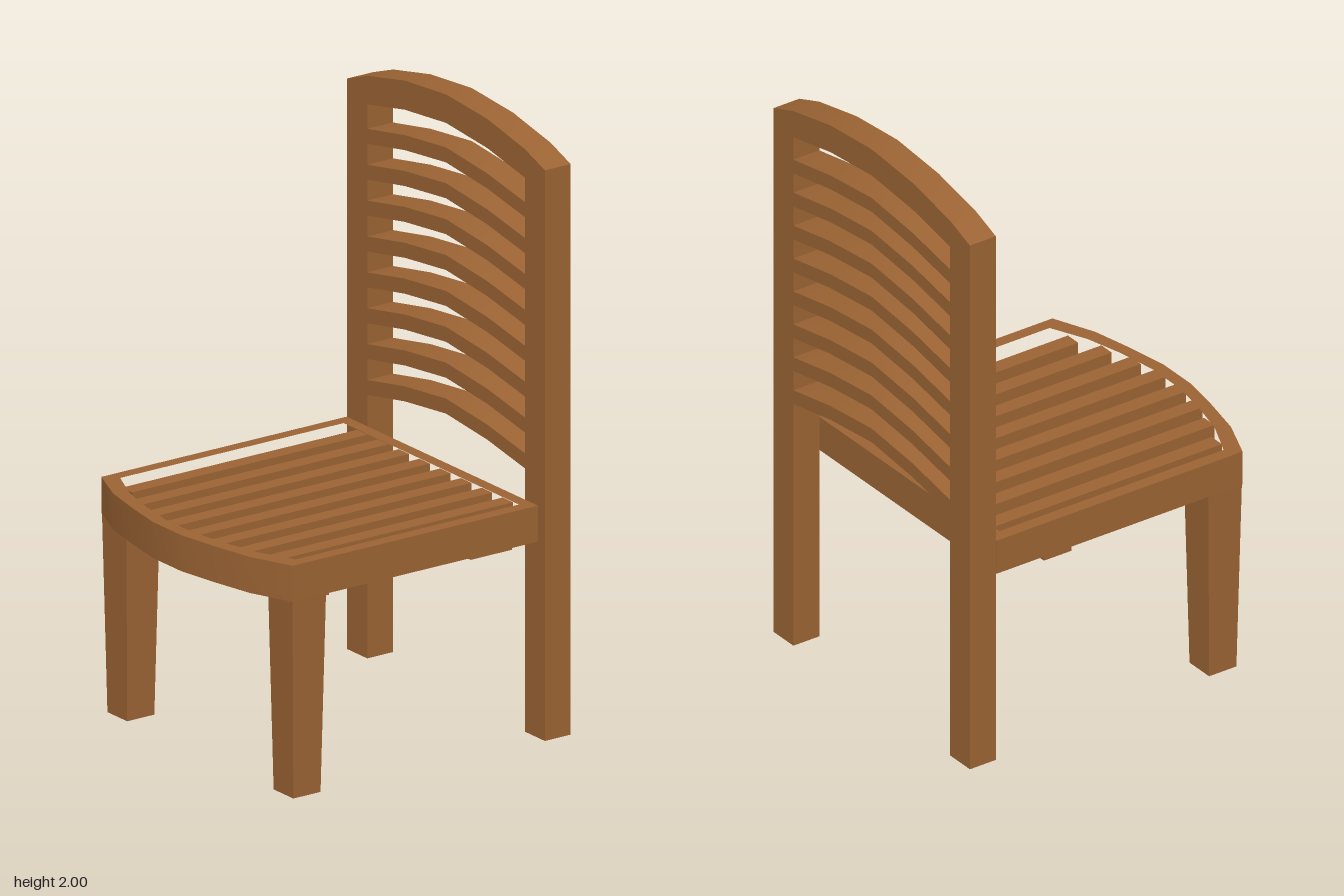
import * as THREE from 'three';
import { toCreasedNormals } from 'three/addons/utils/BufferGeometryUtils.js';

const wood = new THREE.MeshStandardMaterial({ color: 0x9c6434 });
wood.name = 'warm brown wood';

// Closed shape from points given for x >= 0, mirrored to the other side.
function mirrored(half) {
  const other = half.filter(([x]) => x > 0).map(([x, y]) => [-x, y]).reverse();
  return [...half, ...other].map(([x, y]) => new THREE.Vector2(x, y));
}

function extrude(points, depth, hole) {
  const shape = new THREE.Shape(points);
  if (hole) shape.holes.push(new THREE.Path(hole));
  const geometry = new THREE.ExtrudeGeometry(shape, { depth, bevelEnabled: false });
  return toCreasedNormals(geometry, 0.45);
}

export function createModel() {
  const model = new THREE.Group();
  model.name = 'chair';

  function add(name, geometry, x = 0, y = 0, z = 0) {
    const mesh = new THREE.Mesh(geometry, wood);
    mesh.name = name;
    mesh.position.set(x, y, z);
    model.add(mesh);
    return mesh;
  }

  // Back posts and arched top rail in one piece
  const backHalf = [
    [0, 1.905], [0.22, 1.885], [0.42, 1.845], [0.42, 0], [0.527, 0],
    [0.527, 1.9], [0.42, 1.94], [0.22, 1.982], [0, 2],
  ];
  add('backFrame', extrude(mirrored(backHalf), 0.1), 0, 0, -0.59);

  // Arched slats across the back
  const slatHalf = [
    [0, -0.05], [0.22, -0.073], [0.425, -0.111], [0.425, -0.061], [0.22, -0.023], [0, 0],
  ];
  const backSlat = extrude(mirrored(slatHalf), 0.1);
  for (let i = 0; i < 8; i++) add('backSlat', backSlat, 0, 0.987 + i * 0.1195, -0.59);

  // Seat frame with a bowed front, drawn flat with -z as the drawing's y
  const outer = mirrored([
    [0.51, 0.475], [0.51, -0.475], [0.365, -0.535], [0.215, -0.567], [0.075, -0.59],
  ]);
  const inner = mirrored([
    [0.467, 0.433], [0.467, -0.433], [0.34, -0.49], [0.205, -0.524], [0.07, -0.545],
  ]);
  const seat = add('seatFrame', extrude(outer, 0.12, inner), 0, 0.662, 0);
  seat.rotation.x = -Math.PI / 2;

  // Seat slats, longer towards the middle to meet the bowed front
  for (let i = 0; i < 8; i++) {
    const x = -0.391 + i * 0.1108;
    const front = 0.565 - 0.68 * x * x;
    add('seatSlat', new THREE.BoxGeometry(0.055, 0.09, front + 0.45), x, 0.725, (front - 0.45) / 2);
  }

  // Cross planks under the slats
  for (const z of [-0.313, 0.395]) {
    add('crossPlank', new THREE.BoxGeometry(0.97, 0.035, 0.16), 0, 0.6625, z);
  }

  // Tapered front legs
  const legGeometry = new THREE.BoxGeometry(0.13, 0.67, 0.13);
  const p = legGeometry.attributes.position;
  for (let i = 0; i < p.count; i++) {
    if (p.getY(i) < 0) p.setXYZ(i, p.getX(i) * 0.81, p.getY(i), p.getZ(i) * 0.81);
  }
  legGeometry.computeVertexNormals();
  add('frontLegLeft', legGeometry, 0.443, 0.335, 0.409);
  add('frontLegRight', legGeometry, -0.443, 0.335, 0.409);

  return model;
}
